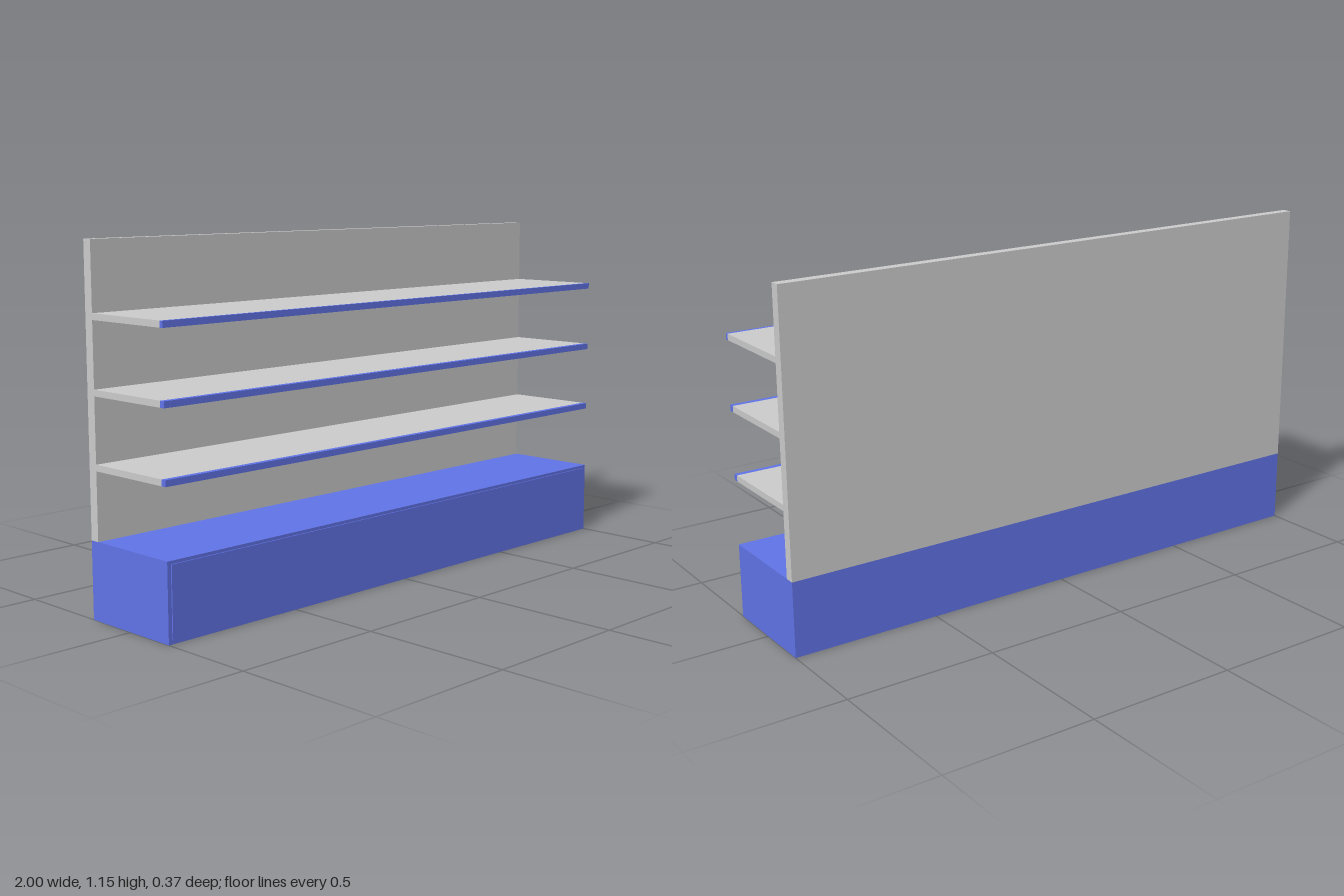
import * as THREE from 'three';

const grey = new THREE.MeshStandardMaterial({ color: 0xcccccc });
const blue = new THREE.MeshStandardMaterial({ color: 0x6174e8 });

// Box given by its extents on each axis
function block(name, material, [x0, x1], [y0, y1], [z0, z1]) {
  const mesh = new THREE.Mesh(new THREE.BoxGeometry(x1 - x0, y1 - y0, z1 - z0), material);
  mesh.position.set((x0 + x1) / 2, (y0 + y1) / 2, (z0 + z1) / 2);
  mesh.name = name;
  return mesh;
}

export function createModel() {
  const model = new THREE.Group();
  model.name = 'shelvingUnit';
  const width = [-1, 1];
  const back = -0.183, wallFront = -0.15, front = 0.179;

  // Plinth: blue all round with a grey underside, and a slightly raised front panel
  model.add(block('base', [blue, blue, blue, grey, blue, blue], width, [0, 0.247], [back, front]));
  model.add(block('basePanel', blue, [-0.987, 0.987], [0.014, 0.237], [front, 0.183]));

  // Upright back wall standing on the plinth
  model.add(block('backPanel', grey, width, [0.247, 1.15], [back, wallFront]));

  // Three shelves, each with a blue edge strip; the top strip is shallower
  [[0.463, 0.161], [0.688, 0.161], [0.914, 0.167]].forEach(([y, stripBack], i) => {
    const shelf = new THREE.Group();
    shelf.name = `shelf${i + 1}`;
    const height = [y, y + 0.02];
    shelf.add(block('shelfBoard', grey, width, height, [wallFront, stripBack]));
    shelf.add(block('shelfEdge', blue, width, height, [stripBack, front]));
    model.add(shelf);
  });
  return model;
}
